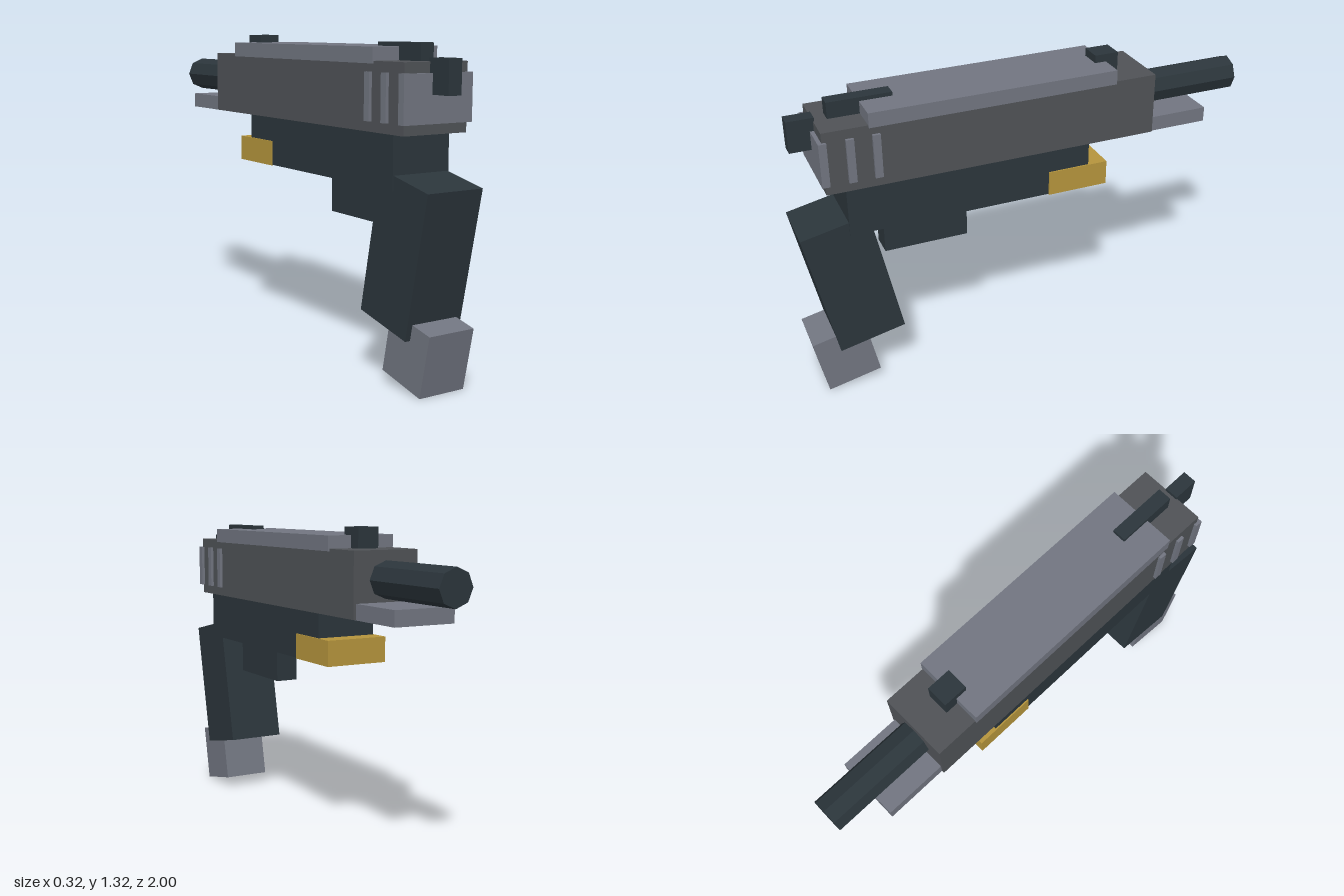
import * as THREE from 'three';

const material = (name, color) => {
  const m = new THREE.MeshStandardMaterial({ color });
  m.name = name;
  return m;
};

export function createModel() {
  const model = new THREE.Group();
  model.name = 'blasterProp';
  const dark = material('darkBlueGrey', 0x2b353b);
  const mid = material('charcoalGrey', 0x4f5256);
  const light = material('lightGrey', 0x717580);
  const gold = material('gold', 0xb4943c);

  // Box spanning half width hx, heights y0..y1 and depths z0..z1
  const block = (name, mat, hx, y0, y1, z0, z1) => {
    const mesh = new THREE.Mesh(new THREE.BoxGeometry(hx * 2, y1 - y0, z1 - z0), mat);
    mesh.name = name;
    mesh.position.set(0, (y0 + y1) / 2, (z0 + z1) / 2);
    model.add(mesh);
    return mesh;
  };

  // Upper body and its raised top
  block('upperBody', mid, 0.147, 0.975, 1.24, -0.55, 0.88);
  block('topRail', light, 0.153, 1.23, 1.292, -0.365, 0.695);

  // Grip ribs wrapped around the upper body
  for (const z of [0.88, 0.773, 0.668]) {
    block('rib', light, 0.16, 1.015, 1.2, z - 0.016, z + 0.016);
  }

  // Small parts along the top
  block('endTab', dark, 0.03, 1.122, 1.255, 0.875, 0.985);
  block('topCatch', dark, 0.03, 1.235, 1.308, 0.56, 0.825);
  block('sight', dark, 0.047, 1.235, 1.325, -0.42, -0.315);

  // Eight-sided barrel with the plate beneath it
  const barrel = new THREE.Mesh(new THREE.CylinderGeometry(0.075, 0.075, 0.5, 8), dark);
  barrel.geometry = barrel.geometry.toNonIndexed();
  barrel.geometry.computeVertexNormals();
  barrel.name = 'barrel';
  barrel.rotation.x = Math.PI / 2;
  barrel.position.set(0, 1.125, -0.75);
  model.add(barrel);
  block('barrelPlate', light, 0.135, 0.973, 1.037, -0.815, -0.5);

  // Lower frame
  block('lowerFrame', dark, 0.132, 0.765, 0.98, -0.255, 0.8);
  block('goldBlock', gold, 0.138, 0.763, 0.87, -0.34, -0.07);
  block('triggerBlock', dark, 0.05, 0.605, 0.77, 0.275, 0.64);

  // Slanted handle and the insert below it
  const tilt = 0.205;
  block('handle', dark, 0.128, 0.234, 0.816, 0.655, 0.945).rotation.x = tilt;
  block('handleInsert', light, 0.105, 0.025, 0.28, 0.738, 0.973).rotation.x = tilt;

  return model;
}
